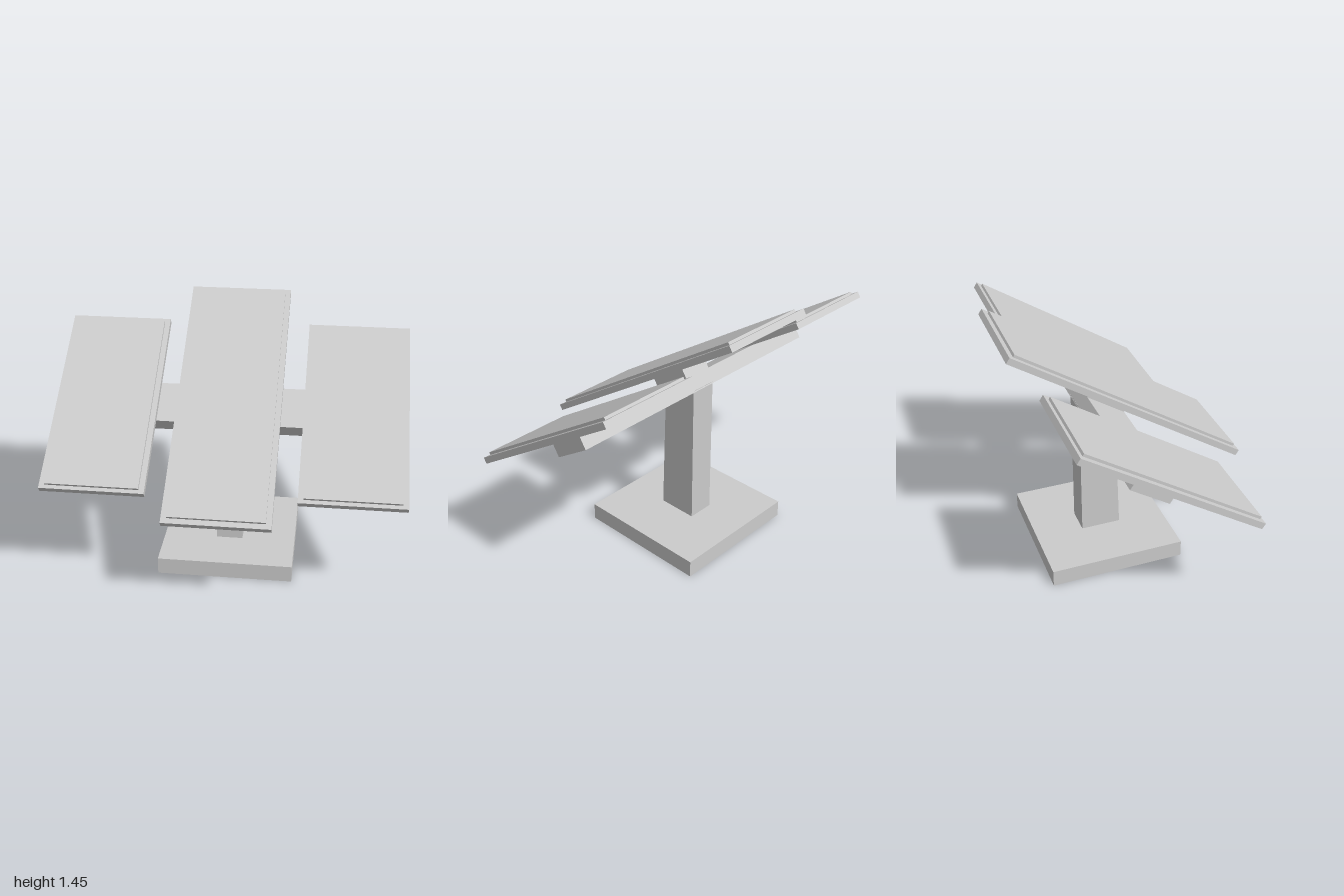
import * as THREE from 'three';

const mat = new THREE.MeshStandardMaterial({ color: 0xcccccc });
const openMat = new THREE.MeshStandardMaterial({ color: 0xcccccc, side: THREE.DoubleSide });

function box(name, w, h, d, x, y, z) {
  const mesh = new THREE.Mesh(new THREE.BoxGeometry(w, h, d), mat);
  mesh.name = name;
  mesh.position.set(x, y, z);
  return mesh;
}

// Framed panel with a raised glass sheet; its origin is the frame centre
function solarPanel(name, width, length, inset) {
  const panel = new THREE.Group();
  panel.name = name;
  panel.add(box('frame', width, 0.036, length, 0, 0, 0));
  panel.add(box('glass', width - 0.062, 0.016, length - 2 * inset, 0, 0.025, 0));
  return panel;
}

// Four small spacers filling the gap below a panel
function spacers(name, x, bottom, top, z) {
  const group = new THREE.Group();
  group.name = name;
  for (const dx of [-0.05, 0.05]) {
    for (const dz of [-0.05, 0.05]) {
      const peg = new THREE.Mesh(new THREE.CylinderGeometry(0.014, 0.014, top - bottom, 12), mat);
      peg.name = 'spacer';
      peg.position.set(x + dx, (top + bottom) / 2, z + dz);
      group.add(peg);
    }
  }
  return group;
}

export function createModel() {
  const model = new THREE.Group();
  model.name = 'solarPanelStand';

  // Hollow base, open underneath
  const baseGeo = new THREE.BoxGeometry(0.78, 0.1, 0.78);
  const index = Array.from(baseGeo.index.array);
  index.splice(18, 6);
  baseGeo.setIndex(index);
  const base = new THREE.Mesh(baseGeo, openMat);
  base.name = 'base';
  base.position.set(0, 0.05, -0.11);
  model.add(base);

  // Post with a leaning front and a top cut to the tilt (side profile: z, y)
  const profile = new THREE.Shape([
    [0.01, 0.092], [-0.015, 0.81], [-0.226, 0.945], [-0.223, 0.092],
  ].map(([z, y]) => new THREE.Vector2(z, y)));
  const postGeo = new THREE.ExtrudeGeometry(profile, { depth: 0.155, bevelEnabled: false });
  postGeo.translate(0, 0, -0.0775).rotateY(-Math.PI / 2);
  const post = new THREE.Mesh(postGeo, mat);
  post.name = 'post';
  model.add(post);

  // Tilted head carrying the arm and panels
  const head = new THREE.Group();
  head.name = 'tiltedHead';
  head.position.set(0, 1.005, 0);
  head.rotation.x = THREE.MathUtils.degToRad(33);
  model.add(head);

  head.add(box('crossArm', 1.73, 0.088, 0.255, 0, -0.138, -0.028));
  head.add(box('hub', 0.18, 0.066, 0.255, 0, -0.062, -0.029));

  head.add(solarPanel('centrePanel', 0.585, 1.563, 0.03));
  head.add(spacers('centreSpacers', 0, -0.03, -0.017, -0.029));

  for (const side of [-1, 1]) {
    const label = side > 0 ? 'left' : 'right';
    const panel = solarPanel(label + 'Panel', 0.585, 1.171, 0.022);
    panel.position.set(side * 0.7075, -0.07, 0.001);
    head.add(panel);
    head.add(spacers(label + 'Spacers', side * 0.7075, -0.096, -0.087, -0.028));
  }

  return model;
}
